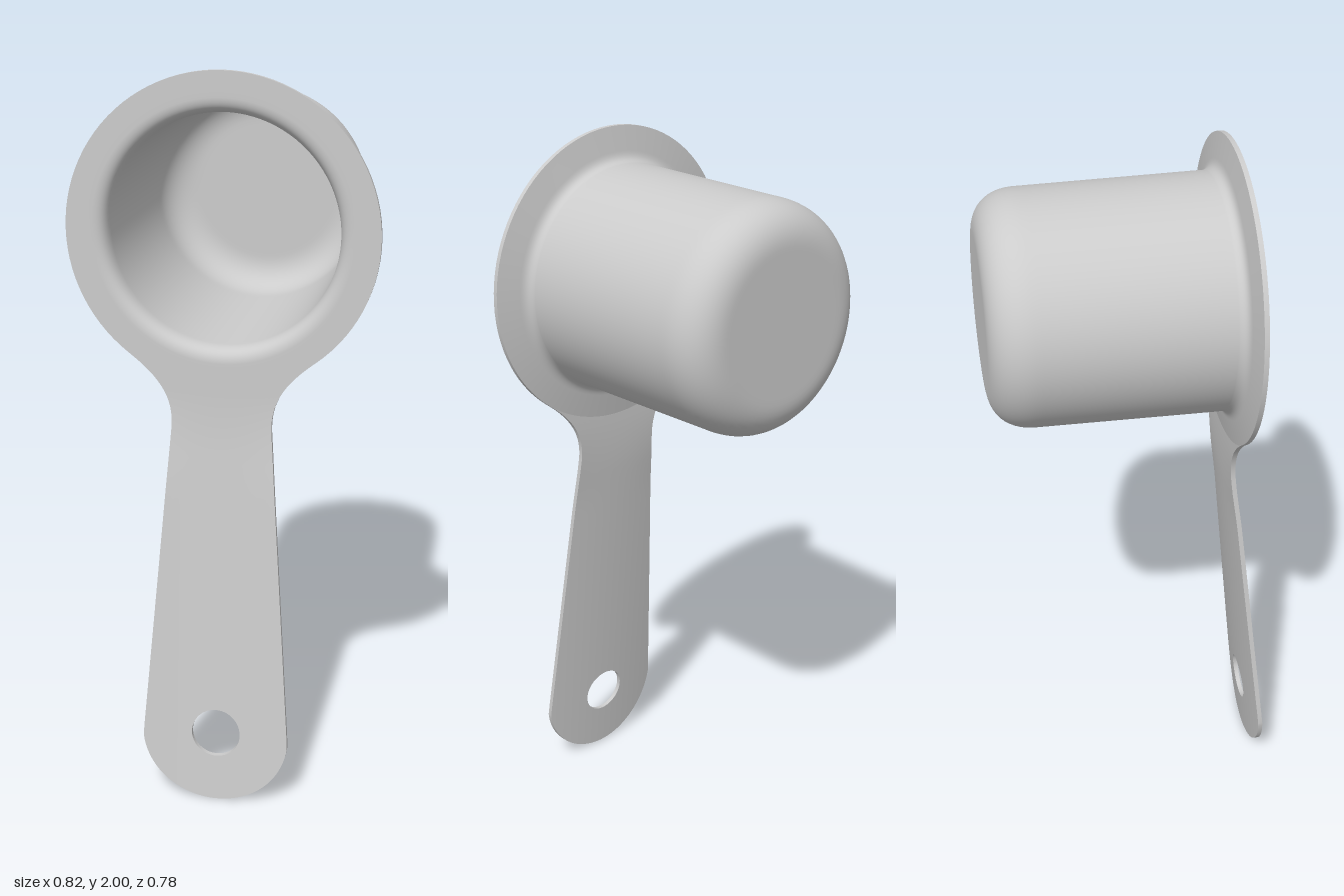
import * as THREE from 'three';

const HEAD_Y = 1.588, HEAD_R = 0.412, FRONT_Z = 0.275, THICK = 0.013;
const JOIN_Y = 0.4, HOLE_Y = 0.197, HOLE_R = 0.068;
const NECK_Y = 1.26, NECK_W = Math.sqrt(HEAD_R ** 2 - (HEAD_Y - NECK_Y) ** 2);
const COLS = 16;

// Front surface of the handle: flat at the head, bent forward below, slightly dished across
function surfaceZ(x, y) {
  const e = 1.17 - y;
  const lean = e <= 0 ? 0 : e < 0.18 ? 0.105 * e * e / 0.36 : 0.105 * (e - 0.09);
  return FRONT_Z + lean + 0.37 * x * x * THREE.MathUtils.smoothstep(e, 0, 0.3);
}

function surfaceNormal(x, y) {
  const h = 0.002;
  return new THREE.Vector3(
    (surfaceZ(x - h, y) - surfaceZ(x + h, y)) / (2 * h),
    (surfaceZ(x, y - h) - surfaceZ(x, y + h)) / (2 * h), 1).normalize();
}

// Front and back skins over a grid of [x, y] rows (counter-clockwise cells)
function skins(rows) {
  const pos = [], nor = [], idx = [], n = rows[0].length, total = rows.length * n;
  for (const side of [1, -1]) {
    for (const row of rows) for (const [x, y] of row) {
      pos.push(x, y, surfaceZ(x, y) - (side < 0 ? THICK : 0));
      nor.push(...surfaceNormal(x, y).multiplyScalar(side).toArray());
    }
    const base = side > 0 ? 0 : total;
    for (let i = 0; i < rows.length - 1; i++) for (let j = 0; j < n - 1; j++) {
      const a = base + i * n + j, b = a + 1, c = a + n + 1, d = a + n;
      if (side > 0) idx.push(a, b, c, a, c, d);
      else idx.push(a, c, b, a, d, c);
    }
  }
  const g = new THREE.BufferGeometry();
  g.setAttribute('position', new THREE.Float32BufferAttribute(pos, 3));
  g.setAttribute('normal', new THREE.Float32BufferAttribute(nor, 3));
  g.setIndex(idx);
  return g;
}

// Thin edge wall along a path, facing the right of its direction
function edgeWall(path) {
  const pos = [], idx = [];
  path.forEach(([x, y], i) => {
    const z = surfaceZ(x, y);
    pos.push(x, y, z, x, y, z - THICK);
    if (i) {
      const a = 2 * i - 2;
      idx.push(a, a + 1, a + 3, a, a + 3, a + 2);
    }
  });
  const g = new THREE.BufferGeometry();
  g.setAttribute('position', new THREE.Float32BufferAttribute(pos, 3));
  g.setIndex(idx);
  g.computeVertexNormals();
  return g;
}

const mirror = ([x, y]) => [-x, y];
const sideWidth = y => 0.204 - 0.0775 * (y - 0.18);

export function createModel() {
  const group = new THREE.Group();
  const grey = new THREE.MeshStandardMaterial({ color: 0xcccccc, side: THREE.DoubleSide });
  const add = (name, geometry, parent = group) => {
    const mesh = new THREE.Mesh(geometry, grey);
    mesh.name = name;
    parent.add(mesh);
    return mesh;
  };

  // Cup, turned about the z axis
  const cup = new THREE.Group();
  cup.name = 'cup';
  cup.position.y = HEAD_Y;
  group.add(cup);
  const turn = (name, path) =>
    add(name, new THREE.LatheGeometry(path.getPoints(12), 96).rotateX(Math.PI / 2), cup);

  const outside = new THREE.Path();
  outside.moveTo(0, -0.39);
  outside.lineTo(0.19, -0.39);
  outside.lineTo(0.205, -0.39);
  outside.bezierCurveTo(0.265, -0.389, 0.308, -0.35, 0.311, -0.28);
  outside.lineTo(0.3112, -0.26);
  outside.lineTo(0.316, 0.2);
  outside.lineTo(0.316, 0.222);
  outside.bezierCurveTo(0.318, 0.24, 0.328, 0.247, 0.345, 0.25);
  outside.lineTo(HEAD_R, FRONT_Z - THICK);
  turn('cupOutside', outside);

  const rim = new THREE.Path();
  rim.moveTo(HEAD_R, FRONT_Z - THICK);
  rim.lineTo(HEAD_R, FRONT_Z);
  turn('flangeEdge', rim);

  const inside = new THREE.Path();
  inside.moveTo(HEAD_R, FRONT_Z);
  inside.lineTo(0.36, FRONT_Z);
  inside.lineTo(0.345, FRONT_Z);
  inside.bezierCurveTo(0.32, 0.274, 0.305, 0.26, 0.304, 0.225);
  inside.lineTo(0.304, 0.21);
  inside.lineTo(0.299, -0.26);
  inside.lineTo(0.2985, -0.28);
  inside.bezierCurveTo(0.296, -0.34, 0.26, -0.376, 0.205, -0.377);
  inside.lineTo(0.19, -0.377);
  inside.lineTo(0, -0.377);
  turn('cupInside', inside);

  // Right-hand outline: rounded end, then the tapering side up to the join
  const lower = [];
  for (let i = 0; i <= 20; i++) {
    const a = -Math.PI / 2 + i / 20 * (Math.PI / 2 - 0.122);
    lower.push([0.205 * Math.cos(a), 0.205 + 0.205 * Math.sin(a)]);
  }
  for (let i = 1; i <= 6; i++) {
    const y = 0.18 + (JOIN_Y - 0.18) * i / 6;
    lower.push([sideWidth(y), y]);
  }

  // Upper side, then the fillet into the head
  const upper = [];
  for (let i = 0; i <= 16; i++) {
    const y = JOIN_Y + (1.06 - JOIN_Y) * i / 16;
    upper.push([sideWidth(y), y]);
  }
  const fillet = new THREE.CubicBezierCurve(
    new THREE.Vector2(sideWidth(1.06), 1.06), new THREE.Vector2(0.13, 1.14),
    new THREE.Vector2(0.165, 1.196), new THREE.Vector2(NECK_W, NECK_Y));
  fillet.getPoints(16).slice(1).forEach(p => upper.push([p.x, p.y]));

  // Handle shaft; its rows curve gradually to meet the round flange
  const shaftRows = upper.map(([w, y]) => {
    const fade = (y - JOIN_Y) / (NECK_Y - JOIN_Y);
    return Array.from({ length: COLS + 1 }, (_, j) => {
      const u = 2 * j / COLS - 1;
      const sag = Math.sqrt(HEAD_R ** 2 - (NECK_W * u) ** 2) - (HEAD_Y - NECK_Y);
      return [u * w, y - sag * fade];
    });
  });
  add('handleShaft', skins(shaftRows));

  // Handle end, lofted from the hanging hole to the outline
  const topRow = shaftRows[0].slice(1, -1).reverse();
  const border = [...lower, ...topRow, ...lower.map(mirror).reverse()];
  const holeRim = border.map(([x, y]) => {
    const s = HOLE_R / Math.hypot(x, y - HOLE_Y);
    return [x * s, HOLE_Y + (y - HOLE_Y) * s];
  });
  const endRows = [];
  for (let k = 0; k <= 6; k++) {
    endRows.push(border.map(([x, y], i) => [
      THREE.MathUtils.lerp(x, holeRim[i][0], k / 6),
      THREE.MathUtils.lerp(y, holeRim[i][1], k / 6)]));
  }
  add('handleEnd', skins(endRows));

  // Edges of the handle and of the hole
  const rightSide = [...lower, ...upper.slice(1)];
  add('handleEdge', edgeWall([...rightSide.map(mirror).reverse(), ...rightSide.slice(1)]));
  add('hangingHoleEdge', edgeWall([...holeRim].reverse()));

  return group;
}
